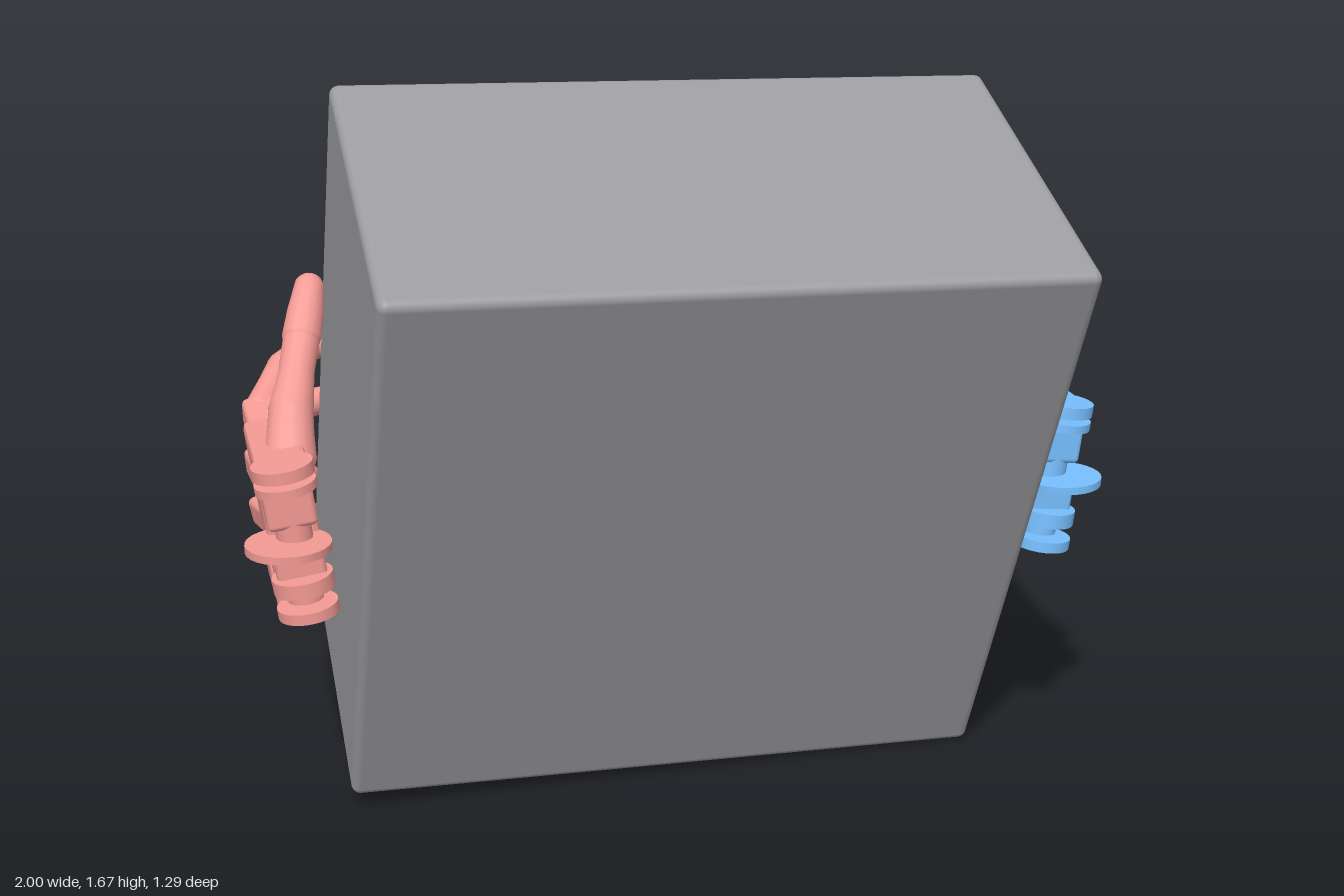
import * as THREE from 'three';
import { RoundedBoxGeometry } from 'three/addons/geometries/RoundedBoxGeometry.js';

const UP = new THREE.Vector3(0, 1, 0);

function add(parent, name, geometry, material) {
  const mesh = new THREE.Mesh(geometry, material);
  mesh.name = name;
  parent.add(mesh);
  return mesh;
}

// Tapered capsule from a to b, slightly waisted like a jointed finger link
function link(parent, name, a, b, r0, r1, material, waist = 0.97) {
  const start = new THREE.Vector3(...a);
  const dir = new THREE.Vector3(...b).sub(start);
  const len = dir.length();
  const profile = [];
  for (let i = 0; i <= 5; i++) {
    const t = (i / 5) * Math.PI / 2;
    profile.push(new THREE.Vector2(r0 * Math.sin(t), -r0 * Math.cos(t) * 0.8));
  }
  profile.push(new THREE.Vector2((r0 + r1) / 2 * waist, len / 2));
  for (let i = 0; i <= 5; i++) {
    const t = (i / 5) * Math.PI / 2;
    profile.push(new THREE.Vector2(r1 * Math.cos(t), len + r1 * Math.sin(t)));
  }
  const mesh = add(parent, name, new THREE.LatheGeometry(profile, 14), material);
  mesh.position.copy(start);
  mesh.quaternion.setFromUnitVectors(UP, dir.normalize());
}

// Boxy knuckle between a and b
function knuckle(parent, a, b, material) {
  const start = new THREE.Vector3(...a), end = new THREE.Vector3(...b);
  const geometry = new RoundedBoxGeometry(0.085, start.distanceTo(end) + 0.03, 0.07, 2, 0.015);
  const mesh = add(parent, 'knuckle', geometry, material);
  mesh.position.lerpVectors(start, end, 0.5);
  mesh.quaternion.setFromUnitVectors(UP, end.sub(start).normalize());
}

// Plate outlined in (z, y) and extruded along x, centred on x = 0
function plate(parent, name, outline, thickness, material) {
  const bevel = 0.012;
  const shape = new THREE.Shape(outline.map(([z, y]) => new THREE.Vector2(-z, y)));
  const geometry = new THREE.ExtrudeGeometry(shape, {
    depth: thickness - 2 * bevel, bevelThickness: bevel, bevelSize: bevel,
    bevelOffset: -bevel, bevelSegments: 2,
  });
  geometry.translate(0, 0, bevel - thickness / 2);
  geometry.rotateY(Math.PI / 2);
  add(parent, name, geometry, material);
}

// Flat wrist disc
function disc(parent, name, x, y, z, radius, height, material) {
  add(parent, name, new THREE.CylinderGeometry(radius, radius, height, 28), material)
    .position.set(x, y, z);
}

function createHand(name, color, side, dz, fingers, thumb) {
  const hand = new THREE.Group();
  hand.name = name;
  const mat = new THREE.MeshStandardMaterial({ color });

  // Palm and wrist lean towards the box at the little finger
  const palm = new THREE.Group();
  palm.name = 'palmAndWrist';
  palm.position.set(0.888 * side, 0.74, 0);
  palm.rotation.z = -0.12 * side;
  hand.add(palm);

  // Palm with slots between the knuckles, heights measured from its middle
  plate(palm, 'palm', [
    [0.2 + dz, 0.18], [0.2 + dz, -0.12], [0.13, -0.14], [0.03, -0.12], [-0.13, -0.12],
    [-0.13, -0.05], [-0.1, -0.04], [-0.1, -0.025], [-0.14, -0.02], [-0.14, 0.05],
    [-0.1, 0.06], [-0.1, 0.075], [-0.15, 0.09], [-0.15, 0.16], [-0.1, 0.18],
  ], 0.115, mat);
  // Outer metacarpal plate on the little finger side
  plate(palm, 'littleMetacarpal', [
    [0.2 + dz, -0.14], [0.2 + dz, -0.18], [0.13, -0.19], [0.06, -0.185], [0.0, -0.21],
    [-0.15, -0.215], [-0.15, -0.14], [-0.03, -0.125], [0.03, -0.07], [0.06, -0.09], [0.14, -0.14],
  ], 0.125, mat);

  // Wrist joint: core, blocks, tabs and the large middle disc
  const wz = 0.24 + dz;
  disc(palm, 'wristCore', 0, 0, wz - 0.02, 0.04, 0.3, mat);
  for (const [y, h] of [[0.166, 0.028], [0.128, 0.02], [-0.1, 0.035], [-0.165, 0.025]]) {
    disc(palm, 'wristTab', 0, y, wz, 0.068, h, mat);
  }
  for (const y of [-0.055, 0.075]) {
    const block = add(palm, 'wristBlock', new RoundedBoxGeometry(0.11, 0.09, 0.12, 2, 0.012), mat);
    block.position.set(0, y, wz - 0.04);
  }
  disc(hand, 'wristDisc', 0.905 * side, 0.73, 0.25 + dz, 0.095, 0.018, mat);

  // Fingers: knuckle, long link, middle link and tip
  const radii = [0.04, 0.039, 0.038, 0.031];
  for (const [fingerName, path] of Object.entries(fingers)) {
    const finger = new THREE.Group();
    finger.name = fingerName;
    hand.add(finger);
    knuckle(finger, path[0], path[1], mat);
    for (let i = 1; i < path.length - 1; i++) {
      const part = i === path.length - 2 ? 'fingertip' : 'fingerLink';
      link(finger, part, path[i], path[i + 1], radii[i - 1], radii[i] * 0.95, mat);
    }
  }

  // Thumb, waisted between base and tip
  const thumbGroup = new THREE.Group();
  thumbGroup.name = 'thumb';
  hand.add(thumbGroup);
  link(thumbGroup, 'thumbBase', thumb[0], thumb[1], 0.06, 0.05, mat);
  link(thumbGroup, 'thumbLink', thumb[1], thumb[2], 0.051, 0.042, mat, 0.88);
  link(thumbGroup, 'thumbTip', thumb[2], thumb[3], 0.045, 0.035, mat, 1.05);
  return hand;
}

export function createModel() {
  const model = new THREE.Group();
  model.name = 'heldBox';

  // Tilted box
  const grey = new THREE.MeshStandardMaterial({ color: 0x9c9c9f });
  const box = add(model, 'box', new RoundedBoxGeometry(1.54, 1.445, 0.815, 3, 0.022), grey);
  box.position.set(0.012, 0.838, 0);
  box.rotation.order = 'ZXY';
  box.rotation.set(0.392, 0, -0.027);

  // Hand on the model's left
  model.add(createHand('leftHand', 0x78c0ff, 1, 0, {
    indexFinger: [[0.905, 0.865, -0.12], [0.915, 0.885, -0.22], [0.88, 0.93, -0.37], [0.8, 0.955, -0.45], [0.67, 0.955, -0.465]],
    middleFinger: [[0.9, 0.755, -0.11], [0.915, 0.74, -0.23], [0.9, 0.71, -0.38], [0.85, 0.68, -0.5], [0.78, 0.655, -0.605]],
    ringFinger: [[0.885, 0.655, -0.11], [0.905, 0.635, -0.23], [0.895, 0.6, -0.37], [0.85, 0.56, -0.49], [0.79, 0.54, -0.595]],
    littleFinger: [[0.875, 0.565, -0.1], [0.89, 0.55, -0.2], [0.88, 0.52, -0.33], [0.845, 0.485, -0.45], [0.8, 0.465, -0.555]],
  }, [[0.89, 0.88, 0.11], [0.875, 0.97, 0.03], [0.855, 1.1, -0.105], [0.865, 1.2, -0.2]]));

  // Hand on the model's right
  model.add(createHand('rightHand', 0xf49a94, -1, -0.02, {
    indexFinger: [[-0.91, 0.875, -0.13], [-0.915, 0.9, -0.22], [-0.85, 0.96, -0.35], [-0.77, 0.99, -0.43], [-0.63, 1.0, -0.46]],
    middleFinger: [[-0.905, 0.765, -0.12], [-0.915, 0.775, -0.23], [-0.87, 0.8, -0.41], [-0.79, 0.815, -0.51], [-0.665, 0.825, -0.55]],
    ringFinger: [[-0.89, 0.665, -0.12], [-0.91, 0.655, -0.23], [-0.89, 0.63, -0.38], [-0.85, 0.61, -0.5], [-0.78, 0.6, -0.605]],
    littleFinger: [[-0.88, 0.575, -0.11], [-0.89, 0.565, -0.21], [-0.875, 0.54, -0.34], [-0.84, 0.515, -0.47], [-0.785, 0.505, -0.58]],
  }, [[-0.88, 0.88, 0.09], [-0.865, 0.97, 0.01], [-0.82, 1.1, -0.125], [-0.79, 1.19, -0.21]]));

  return model;
}
